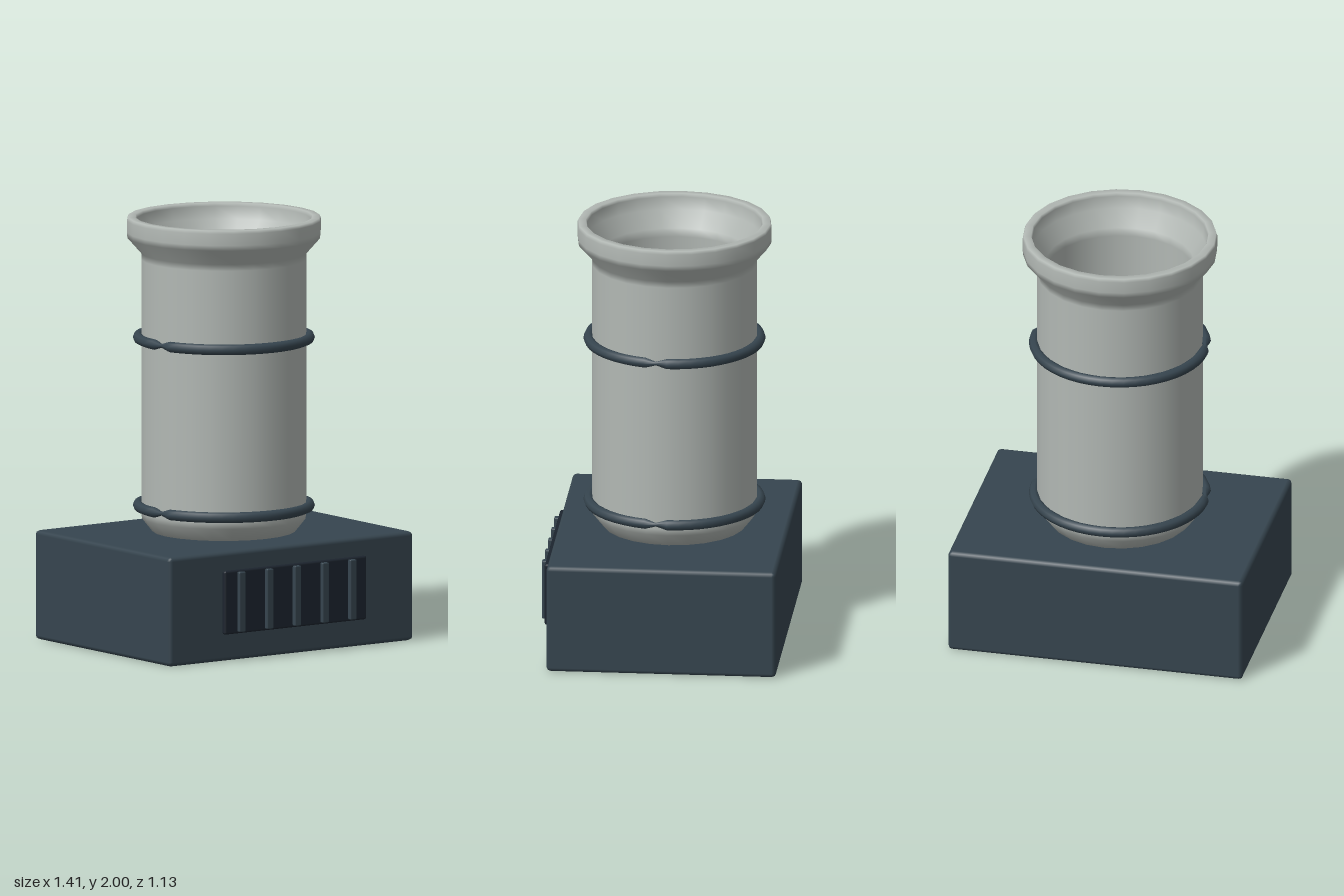
import * as THREE from 'three';
import { mergeVertices } from 'three/addons/utils/BufferGeometryUtils.js';
import { RoundedBoxGeometry } from 'three/addons/geometries/RoundedBoxGeometry.js';

const PIPE_Z = -0.026;

const paint = (color) => new THREE.MeshStandardMaterial({ color });

// Box with a small chamfer, given by its two extreme corners
function bevelBox(name, min, max, bevel, material) {
  const size = max.map((v, i) => v - min[i]);
  const mesh = new THREE.Mesh(new RoundedBoxGeometry(...size, 1, bevel), material);
  mesh.position.set(...max.map((v, i) => (v + min[i]) / 2));
  mesh.name = name;
  return mesh;
}

// Thin torus band, pinched at one joint on each side
function bandGeometry() {
  const R = 0.4, segments = 48, pinched = [1, 23];
  const g = new THREE.TorusGeometry(R, 0.025, 8, segments);
  const p = g.attributes.position;
  for (let i = 0; i < p.count; i++) {
    const j = i % (segments + 1);
    if (!pinched.includes(j)) continue;
    const a = (j / segments) * Math.PI * 2;
    const cx = R * Math.cos(a), cy = R * Math.sin(a), k = 0.35;
    p.setXYZ(i, cx + (p.getX(i) - cx) * k, cy + (p.getY(i) - cy) * k, p.getZ(i) * k);
  }
  g.deleteAttribute('uv');
  g.deleteAttribute('normal');
  const merged = mergeVertices(g);
  merged.rotateX(Math.PI / 2);
  merged.computeVertexNormals();
  return merged;
}

export function createModel() {
  const model = new THREE.Group();
  model.name = 'ventPipe';
  const charcoal = paint(0x36454f);
  const dark = paint(0x1c242e);
  const ash = paint(0xb2b8b4);

  // Housing block
  model.add(bevelBox('base', [-0.705, 0, -0.563], [0.705, 0.515, 0.513], 0.02, charcoal));

  // Front grille with vertical slats
  const grille = new THREE.Group();
  grille.name = 'grille';
  grille.add(bevelBox('grillePanel', [-0.41, 0.13, 0.521], [0.41, 0.43, 0.547], 0.01, dark));
  for (let i = -2; i <= 2; i++) {
    const x = i * 0.16;
    grille.add(bevelBox('grilleSlat', [x - 0.019, 0.138, 0.535], [x + 0.019, 0.422, 0.566], 0.006, charcoal));
  }
  model.add(grille);

  // Hollow pipe: outer wall going up, flared lip, inner wall going down
  const profile = [
    [0.275, 0.517], [0.335, 0.517], [0.385, 0.58], [0.387, 0.61], [0.387, 1.8], [0.387, 1.83],
    [0.453, 1.905], [0.455, 1.93], [0.455, 1.985], [0.45, 2], [0.415, 2], [0.41, 1.985],
    [0.405, 1.925], [0.348, 1.85], [0.345, 1.81], [0.345, 0.64], [0.345, 0.6], [0.275, 0.517],
  ].map(([r, y]) => new THREE.Vector2(r, y));
  const pipe = new THREE.Mesh(new THREE.LatheGeometry(profile, 24), ash);
  pipe.name = 'pipe';
  pipe.position.z = PIPE_Z;
  model.add(pipe);

  // Clamp bands around the pipe
  const band = bandGeometry();
  for (const y of [0.637, 1.43]) {
    const mesh = new THREE.Mesh(band, charcoal);
    mesh.name = 'clampBand';
    mesh.position.set(0, y, PIPE_Z);
    model.add(mesh);
  }
  return model;
}
